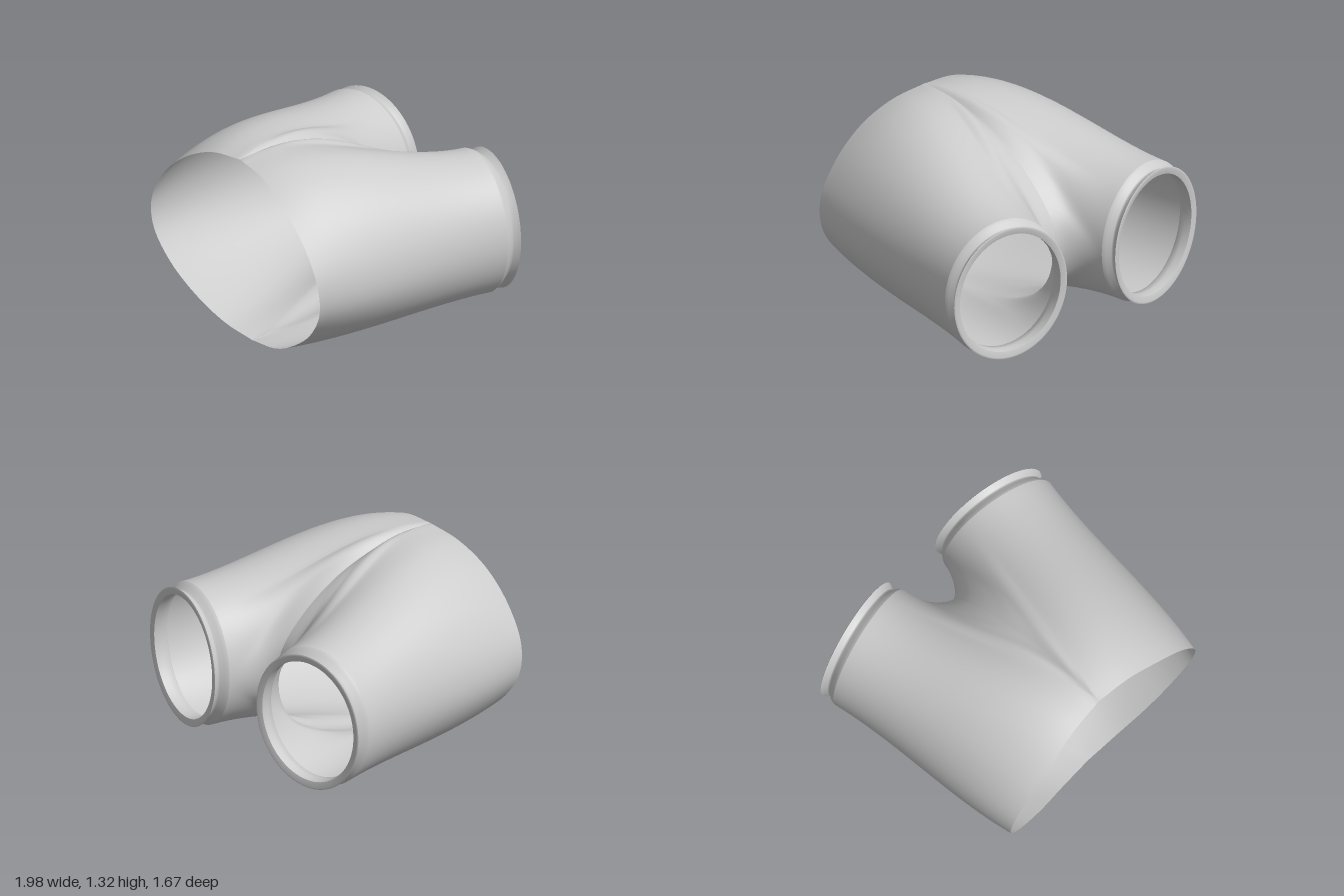
import * as THREE from 'three';

const V = (x, y, z) => new THREE.Vector3(x, y, z);
const WAIST = 56, SEAM = 48, N = WAIST + SEAM, ROWS = 24;

// Half of the waist edge, from top centre round the side to bottom centre
const waist = new THREE.CatmullRomCurve3([
  V(0, 1.285, 0.78), V(0.25, 1.25, 0.8), V(0.48, 1.14, 0.825), V(0.69, 0.95, 0.83), V(0.815, 0.72, 0.825),
  V(0.815, 0.52, 0.805), V(0.69, 0.32, 0.775), V(0.48, 0.155, 0.74), V(0.25, 0.04, 0.7), V(0, 0, 0.68),
]);
// Centre seam, from bottom of the waist through the crotch back to the top
const seam = new THREE.CatmullRomCurve3([
  V(0, 0, 0.68), V(0, 0.04, 0.3), V(0, 0.1, 0.02), V(0, 0.2, -0.25), V(0, 0.37, -0.43), V(0, 0.58, -0.5),
  V(0, 0.8, -0.46), V(0, 1.0, -0.28), V(0, 1.17, 0), V(0, 1.26, 0.3), V(0, 1.295, 0.55), V(0, 1.285, 0.78),
]);

// Leg end: an ellipse tilted outward along its axis
const axis = V(0.19, -0.02, -0.98).normalize();
const across = V(0.98, 0, 0.19).normalize();
const legCentre = V(0.575, 0.635, -0.665);
const legPoint = (a, along, scale) => legCentre.clone()
  .addScaledVector(axis, along)
  .addScaledVector(across, 0.415 * scale * Math.cos(a))
  .add(V(0, 0.472 * scale * Math.sin(a), 0));

// Each strand runs from the waist or the seam to one angle of the leg end
function strand(i) {
  const inner = Math.PI * 122 / 180;
  const onWaist = i < WAIST;
  const t = onWaist ? i / WAIST : (i - WAIST) / SEAM;
  const start = (onWaist ? waist : seam).getPointAt(t);
  const angle = onWaist ? inner * (1 - 2 * t) : -inner - t * 2 * (Math.PI - inner);
  const end = legPoint(angle, 0, 1);
  const d = start.distanceTo(end);

  // leave along the chord, bulging out at the top, bottom and side
  const dir = end.clone().sub(start).divideScalar(d);
  const h = (start.y - 0.65) / 0.65;
  dir.y += h * (h > 0 ? 0.45 : 0.12);
  dir.x += 0.12 * start.x;
  // turn sideways through the crotch so both halves meet smoothly
  if (!onWaist) dir.lerp(V(1, 0, 0), 0.7 * THREE.MathUtils.smoothstep(Math.min(t, 1 - t), 0.05, 0.5));

  const c1 = start.clone().addScaledVector(dir, d / 3);
  const c2 = end.clone().addScaledVector(axis, -d / 3);
  return { curve: new THREE.CubicBezierCurve3(start, c1, c2, end), angle };
}

// Skin closed rings; side = -1 mirrors the half and its winding
function skin(rings, side) {
  const pos = [], idx = [];
  rings.forEach(r => r.forEach(p => pos.push(p.x * side, p.y, p.z)));
  for (let j = 0; j < rings.length - 1; j++) {
    for (let i = 0; i < N; i++) {
      const k = (i + 1) % N;
      const a = j * N + i, b = j * N + k, c = a + N, d = b + N;
      if (side > 0) idx.push(a, b, c, b, d, c);
      else idx.push(a, c, b, b, c, d);
    }
  }
  const g = new THREE.BufferGeometry();
  g.setAttribute('position', new THREE.Float32BufferAttribute(pos, 3));
  g.setIndex(idx);
  g.computeVertexNormals();
  return g;
}

export function createModel() {
  const group = new THREE.Group();
  group.name = 'shorts';
  const cloth = new THREE.MeshStandardMaterial({ color: 0xcccccc, side: THREE.DoubleSide });
  const strands = Array.from({ length: N }, (_, i) => strand(i));

  // Body and leg surface
  const bodyRings = Array.from({ length: ROWS + 1 }, (_, j) =>
    strands.map(s => s.curve.getPoint(j / ROWS)));

  // Cuff: tucked groove, flared edge, flat rim, inner hem
  const cuffRing = ([along, scale]) => strands.map(s => legPoint(s.angle, along, scale));
  const cuffParts = {
    Groove: [[0, 1], [0.025, 0.975], [0.05, 0.92], [0.065, 0.915], [0.1, 0.975]],
    Rim: [[0.1, 0.975], [0.105, 0.95], [0.095, 0.87]],
    Hem: [[0.095, 0.87], [0.05, 0.86], [0, 0.88], [-0.02, 0.96]],
  };

  for (const [side, label] of [[1, 'left'], [-1, 'right']]) {
    const add = (name, rings) => {
      const mesh = new THREE.Mesh(skin(rings, side), cloth);
      mesh.name = label + name;
      group.add(mesh);
    };
    add('Half', bodyRings);
    for (const [part, profile] of Object.entries(cuffParts)) add('Cuff' + part, profile.map(cuffRing));
  }
  return group;
}
